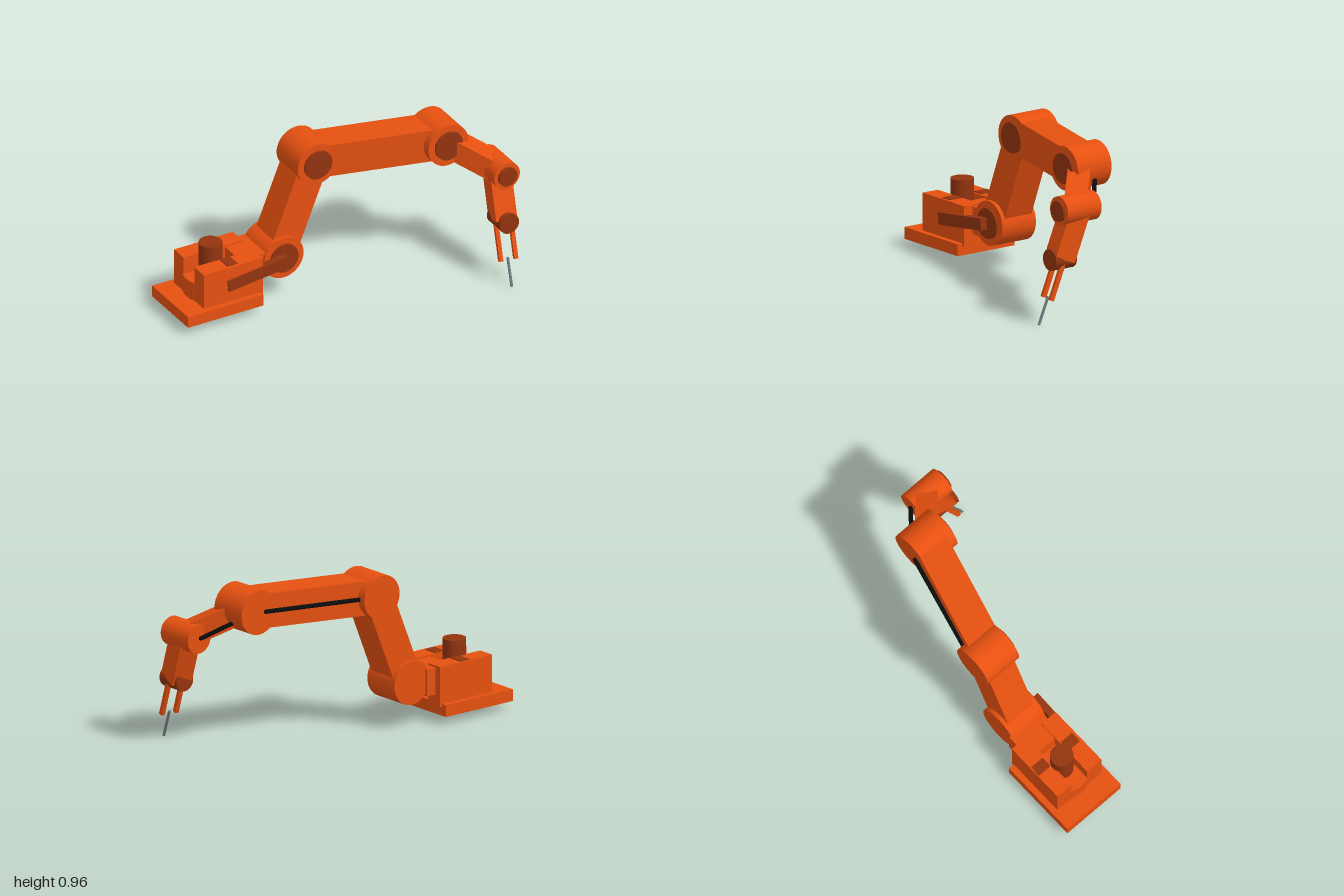
import * as THREE from 'three';

const mat = (name, color) => {
  const m = new THREE.MeshStandardMaterial({ color });
  m.name = name;
  return m;
};
const V = (x, y, z) => new THREE.Vector3(x, y, z);

export function createModel() {
  const model = new THREE.Group();
  model.name = 'robotArm';
  const orange = mat('orange paint', 0xe65010);
  const brown = mat('dark brown', 0x93340f);
  const black = mat('black rubber', 0x0c0c0c);
  const steel = mat('grey steel', 0x737b82);

  const add = (name, geometry, material, parent = model) => {
    const mesh = new THREE.Mesh(geometry, material);
    mesh.name = name;
    parent.add(mesh);
    return mesh;
  };

  // box given by its low and high limits on each axis
  const box = (name, material, x0, x1, y0, y1, z0, z1) =>
    add(name, new THREE.BoxGeometry(x1 - x0, y1 - y0, z1 - z0), material)
      .position.set((x0 + x1) / 2, (y0 + y1) / 2, (z0 + z1) / 2);

  // upright cylinder
  const post = (name, material, x, z, r, y0, y1) =>
    add(name, new THREE.CylinderGeometry(r, r, y1 - y0, 40), material)
      .position.set(x, (y0 + y1) / 2, z);

  // cylinder lying along z
  const drum = (name, material, x, y, r, z0, z1) => {
    const g = new THREE.CylinderGeometry(r, r, z1 - z0, 48).rotateX(Math.PI / 2);
    add(name, g, material).position.set(x, y, (z0 + z1) / 2);
  };

  // group at a whose +z points to b
  const aim = (name, a, b) => {
    const g = new THREE.Group();
    g.name = name;
    g.position.copy(a);
    g.lookAt(b);
    model.add(g);
    return g;
  };

  // square beam from joint to joint
  const beam = (name, a, b, w, h) => {
    const len = a.distanceTo(b);
    const g = new THREE.BoxGeometry(w, h, len).translate(0, 0, len / 2);
    add(name, g, orange, aim(name + 'Frame', a, b));
  };

  // round-ended cable
  const cable = (name, a, b, r) => {
    const len = a.distanceTo(b);
    const g = new THREE.CapsuleGeometry(r, len, 6, 12).rotateX(Math.PI / 2).translate(0, 0, len / 2);
    add(name, g, black, aim(name + 'Frame', a, b));
  };

  // base with turntable and motor
  box('basePlate', orange, -1, -0.5, 0.05, 0.12, -0.44, -0.03);
  post('turntable', orange, -0.73, -0.24, 0.16, 0.12, 0.235);
  post('baseMotor', brown, -0.73, -0.24, 0.068, 0.235, 0.435);
  for (const [side, z0, z1] of [['left', -0.175, -0.066], ['right', -0.404, -0.297]]) {
    box(side + 'BaseBlock', orange, -0.875, -0.485, 0.103, 0.343, z0, z1);
  }
  box('frontBlockPlate', brown, -0.71, -0.643, 0.341, 0.348, -0.17, -0.083);
  box('rearBlockPlate', brown, -0.71, -0.643, 0.341, 0.348, -0.397, -0.31);
  box('shoulderBracket', orange, -0.6, -0.42, 0.17, 0.332, -0.365, -0.125);

  // joints, each with a brown cap on the front
  const shoulder = V(-0.318, 0.27, -0.234);
  const elbow = V(-0.094, 0.824, -0.234);
  const forearm = V(0.655, 0.83, -0.033);
  const wrist = V(0.909, 0.667, 0.198);
  const hand = V(0.893, 0.382, 0.3);
  const joints = [
    ['shoulder', shoulder, 0.131, 0.09, 0.013],
    ['elbow', elbow, 0.131, 0.09, 0.013],
    ['forearm', forearm, 0.131, 0.09, 0.013],
    ['wrist', wrist, 0.085, 0.06, 0.015],
  ];
  for (const [name, c, r, capR, capH] of joints) {
    drum(name + 'Joint', orange, c.x, c.y, r, c.z - 0.121, c.z + 0.121);
    drum(name + 'Cap', brown, c.x, c.y, capR, c.z + 0.115, c.z + 0.121 + capH);
  }
  drum('handJoint', brown, hand.x, hand.y, 0.063, 0.225, 0.375);

  // beams between the joints
  beam('upperArm', shoulder, elbow, 0.192, 0.19);
  beam('middleArm', elbow, forearm, 0.195, 0.205);
  beam('lowerArm', forearm, wrist, 0.13, 0.13);
  beam('handArm', wrist, hand, 0.13, 0.13);

  // linkage bar beside the base
  const bar = add('linkageBar', new THREE.BoxGeometry(0.403, 0.072, 0.045), brown);
  bar.position.set(-0.517, 0.248, -0.078);
  bar.rotation.z = 0.113;

  // cables on the rear of the arms
  cable('middleCable', V(0.03, 0.824, -0.308), V(0.61, 0.83, -0.162), 0.013);
  cable('lowerCable', V(0.77, 0.762, -0.045), V(0.903, 0.674, 0.068), 0.013);

  // gripper fingers and tool tip
  const gripper = aim('gripper', hand, hand.clone().multiplyScalar(2).sub(wrist));
  for (const s of [-1, 1]) {
    add(s < 0 ? 'rightFinger' : 'leftFinger', new THREE.BoxGeometry(0.024, 0.026, 0.245), orange, gripper)
      .position.set(s * 0.046, 0, 0.1225);
  }
  const a = V(0.88, 0.165, 0.376), b = V(0.872, 0.003, 0.437);
  const len = a.distanceTo(b);
  add('toolTip', new THREE.CylinderGeometry(0.008, 0.008, len, 16).rotateX(Math.PI / 2).translate(0, 0, len / 2),
    steel, aim('toolTipFrame', a, b));

  return model;
}
